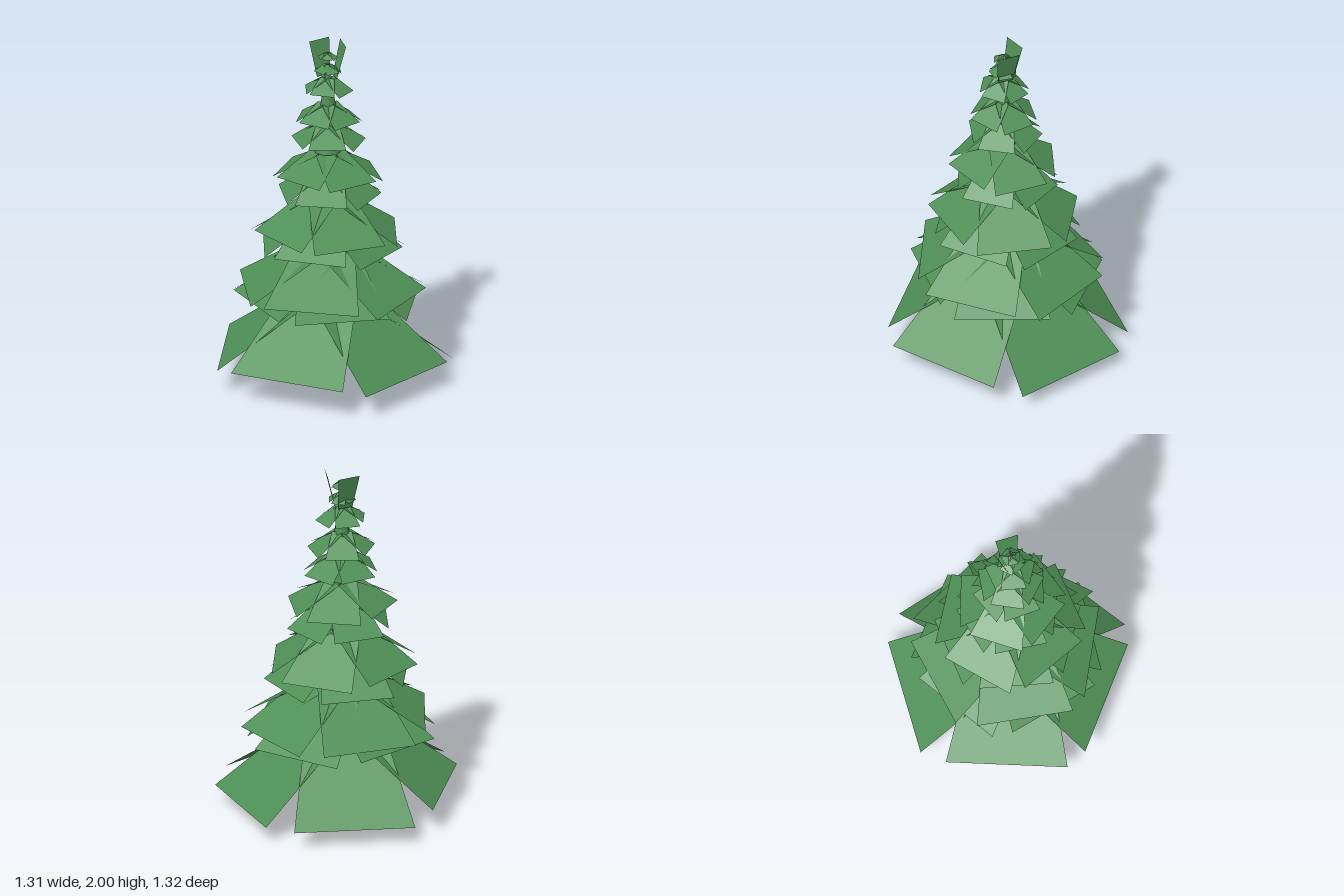
import * as THREE from 'three';

const leafGreen = new THREE.MeshStandardMaterial({ color: 0x4f8f56, side: THREE.DoubleSide });
leafGreen.name = 'leafGreen';
const barkBrown = new THREE.MeshStandardMaterial({ color: 0x6b4730 });
barkBrown.name = 'barkBrown';

// Flat bough, narrow at its root and wide at its tip, pointing along a heading (radians, x towards z)
function bough(name, heading, root, tip) {
  const corner = ({ out, half, y }, side) => [
    Math.cos(heading) * out - Math.sin(heading) * half * side,
    y,
    Math.sin(heading) * out + Math.cos(heading) * half * side,
  ];
  const corners = [corner(root, 1), corner(root, -1), corner(tip, -1), corner(tip, 1)];
  const geometry = new THREE.BufferGeometry();
  geometry.setAttribute('position', new THREE.Float32BufferAttribute(corners.flat(), 3));
  geometry.setIndex([0, 1, 2, 0, 2, 3]);
  geometry.computeVertexNormals();
  const mesh = new THREE.Mesh(geometry, leafGreen);
  mesh.name = name;
  return mesh;
}

// Ring of five drooping boughs, a little shorter and higher towards the front
function boughTier(rootY, tipY, reach, startDegrees) {
  const tier = new THREE.Group();
  const half = reach * 0.57;
  for (let i = 0; i < 5; i++) {
    const heading = THREE.MathUtils.degToRad(startDegrees + i * 72);
    const frontness = Math.cos(heading - 1.8);
    tier.add(bough('bough', heading,
      { out: reach * 0.08, half: half * 0.6, y: rootY },
      { out: reach * (1 - 0.05 * frontness), half, y: tipY + 0.075 * reach * frontness }));
  }
  return tier;
}

// Root height, tip height, reach and first heading of each tier
const tiers = [
  [0.54, 0.13, 0.595, 27],
  [0.75, 0.48, 0.47, 65],
  [0.8, 0.53, 0.475, 15],
  [1.03, 0.79, 0.365, 20],
  [1.1, 0.875, 0.37, 55],
  [1.27, 1.1, 0.26, 12],
  [1.36, 1.22, 0.27, 43],
  [1.53, 1.42, 0.185, 4],
  [1.65, 1.55, 0.165, 33],
  [1.8, 1.725, 0.125, 19],
  [1.88, 1.84, 0.07, 50],
  [1.95, 1.92, 0.05, 10],
];

// Rim height, rim radius and top height of the open cones under the boughs
const cones = [
  [0.3, 0.27, 0.56],
  [0.52, 0.2, 0.8],
  [0.78, 0.15, 1.1],
  [1.06, 0.11, 1.36],
  [1.36, 0.08, 1.65],
  [1.62, 0.047, 1.85],
];

export function createModel() {
  const tree = new THREE.Group();
  tree.name = 'firTree';

  // Everything grows around a trunk that stands slightly off centre
  const body = new THREE.Group();
  body.name = 'treeBody';
  body.position.set(-0.033, 0, 0.058);
  tree.add(body);

  const trunk = new THREE.Mesh(new THREE.CylinderGeometry(0.053, 0.057, 0.5, 12), barkBrown);
  trunk.name = 'trunk';
  trunk.position.y = 0.25;
  body.add(trunk);

  // Green inner cones that show between the tiers
  cones.forEach(([rimY, radius, topY]) => {
    const cone = new THREE.Mesh(
      new THREE.CylinderGeometry(radius * 0.2, radius, topY - rimY, 7, 1, true), leafGreen);
    cone.name = 'innerCone';
    cone.position.y = (rimY + topY) / 2;
    body.add(cone);
  });

  tiers.forEach((sizes, i) => {
    const tier = boughTier(...sizes);
    tier.name = `tier${i + 1}`;
    body.add(tier);
  });

  // Two nearly upright boughs flare at the crown
  const crownRoot = { out: 0.04, half: 0.045, y: 1.8 };
  const crownTip = { out: 0.088, half: 0.066, y: 2 };
  [-0.5, -2.4].forEach((heading, i) => {
    body.add(bough(`crownBough${i + 1}`, heading, crownRoot, crownTip));
  });

  return tree;
}
